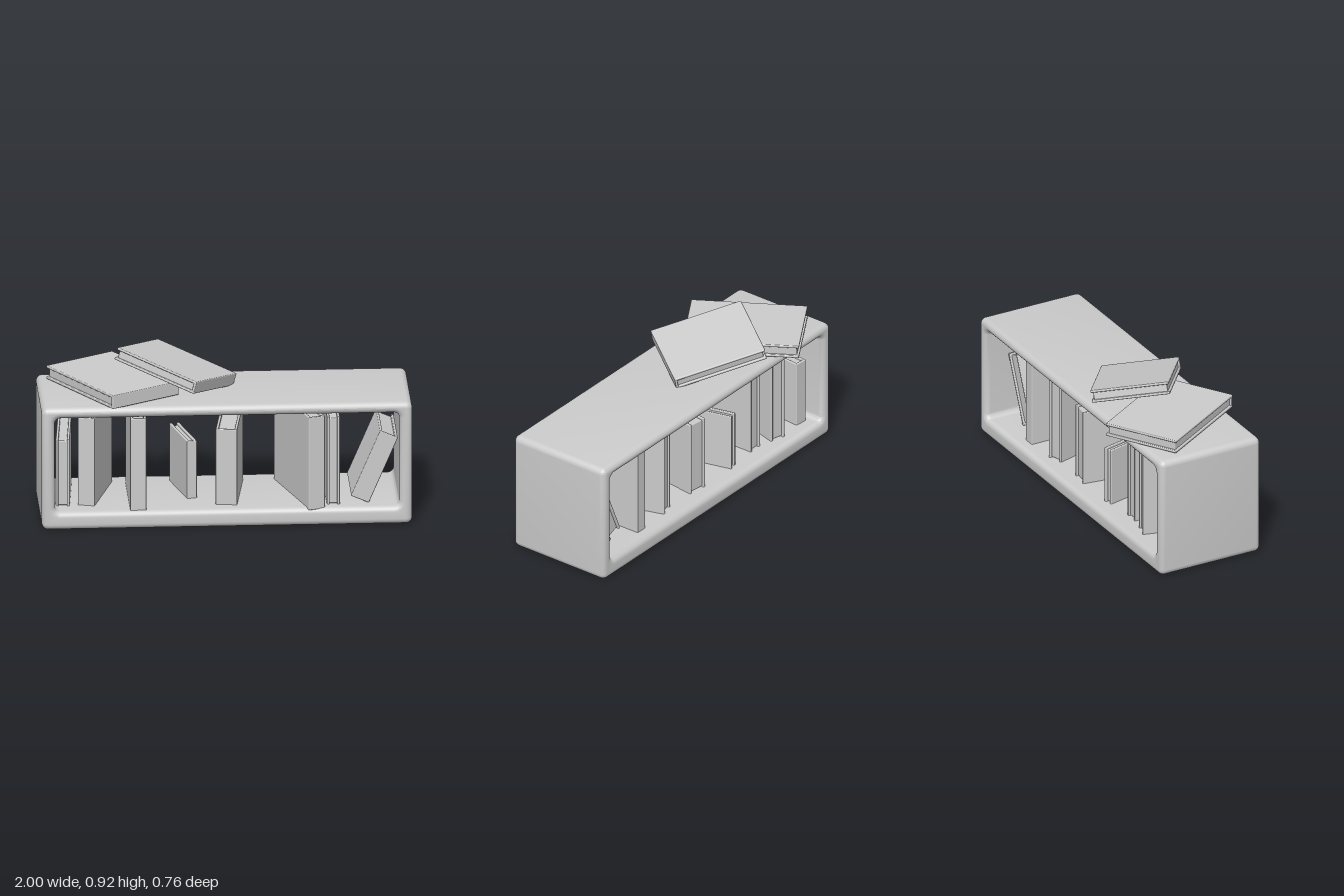
import * as THREE from 'three';
import { toCreasedNormals } from 'three/addons/utils/BufferGeometryUtils.js';
import { RoundedBoxGeometry } from 'three/addons/geometries/RoundedBoxGeometry.js';

const material = new THREE.MeshStandardMaterial({ color: 0xcccccc });

function roundedRect(path, x0, y0, x1, y1, r) {
  path.moveTo(x0 + r, y0);
  path.lineTo(x1 - r, y0);
  path.absarc(x1 - r, y0 + r, r, -Math.PI / 2, 0);
  path.lineTo(x1, y1 - r);
  path.absarc(x1 - r, y1 - r, r, 0, Math.PI / 2);
  path.lineTo(x0 + r, y1);
  path.absarc(x0 + r, y1 - r, r, Math.PI / 2, Math.PI);
  path.lineTo(x0, y0 + r);
  path.absarc(x0 + r, y0 + r, r, Math.PI, Math.PI * 1.5);
  return path;
}

// Open box frame, rounded on every edge
function makeShelf() {
  const shape = roundedRect(new THREE.Shape(), -1, 0, 1, 0.69, 0.036);
  shape.holes.push(roundedRect(new THREE.Path(), -0.93, 0.1, 0.93, 0.63, 0.03));
  const bevel = 0.032;
  const geometry = new THREE.ExtrudeGeometry(shape, {
    depth: 0.62 - 2 * bevel, curveSegments: 6,
    bevelThickness: bevel, bevelSize: bevel, bevelOffset: -bevel, bevelSegments: 6,
  });
  geometry.translate(0, 0, -0.28 + bevel);
  const shelf = new THREE.Mesh(toCreasedNormals(geometry, 0.6), material);
  shelf.name = 'shelfFrame';
  return shelf;
}

// Book centred on its origin: thickness on x, spine length on y, spine facing +z
function makeBook(name, t, h, d) {
  const book = new THREE.Group();
  book.name = name;
  const cover = 0.015, inset = 0.012;
  const add = (part, w, hh, dd, x, z) => {
    const mesh = new THREE.Mesh(new RoundedBoxGeometry(w, hh, dd, 2, 0.005), material);
    mesh.position.set(x, 0, z);
    mesh.name = part;
    book.add(mesh);
  };
  for (const s of [-1, 1]) add('cover', cover, h, d, s * (t - cover) / 2, 0);
  add('spine', t, h, cover, 0, (d - cover) / 2);
  const pageDepth = d - inset - cover / 2;
  add('pages', t - cover, h - 2 * inset, pageDepth, 0, -d / 2 + inset + pageDepth / 2);
  return book;
}

// Upright book running from its front centre to its back centre
function standBook(name, [xf, zf], [xb, zb], t, top, spineBack = false) {
  const y0 = 0.09;
  const book = makeBook(name, t, top - y0, Math.hypot(xf - xb, zf - zb));
  book.position.set((xf + xb) / 2, (y0 + top) / 2, (zf + zb) / 2);
  book.rotation.y = Math.atan2(xf - xb, zf - zb) + (spineBack ? Math.PI : 0);
  return book;
}

// Lying book set by three corners of its upper cover:
// fore edge corner, neighbouring spine corner, other fore edge corner
function layBook(name, fore, spine, foreFar, t) {
  const [a, b, c] = [fore, spine, foreFar].map((p) => new THREE.Vector3(...p));
  const zAxis = b.clone().sub(a), yAxis = c.clone().sub(a);
  const book = makeBook(name, t, yAxis.length(), zAxis.length());
  zAxis.normalize();
  const down = yAxis.clone().cross(zAxis).normalize();
  yAxis.crossVectors(zAxis, down);
  book.quaternion.setFromRotationMatrix(new THREE.Matrix4().makeBasis(down, yAxis, zAxis));
  book.position.copy(b).add(c).multiplyScalar(0.5).addScaledVector(down, t / 2);
  return book;
}

export function createModel() {
  const model = new THREE.Group();
  model.name = 'bookshelf';
  model.add(makeShelf());

  // Books standing in the shelf: front centre, back centre, thickness, top, spine at back
  const standing = [
    [[-0.8825, 0.225], [-0.8475, -0.195], 0.075, 0.48, true],
    [[-0.755, 0.22], [-0.635, -0.2], 0.093, 0.597],
    [[-0.478, 0.315], [-0.478, -0.17], 0.087, 0.62],
    [[-0.178, 0.13], [-0.257, -0.19], 0.056, 0.425],
    [[0, 0.25], [0.058, -0.19], 0.116, 0.528],
    [[0.485, 0.33], [0.325, -0.19], 0.094, 0.617],
    [[0.577, 0.275], [0.577, -0.21], 0.07, 0.597, true],
  ];
  standing.forEach((spec, i) => model.add(standBook(`standingBook${i + 1}`, ...spec)));

  // Book leaning on the end wall
  const leaning = makeBook('leaningBook', 0.105, 0.4, 0.39);
  leaning.position.set(0.8, 0.3, 0.055);
  leaning.rotation.z = -0.405;
  model.add(leaning);

  // Two books on top, one propped on the other
  model.add(layBook('flatBook', [-0.95, 0.773, -0.16], [-0.62, 0.773, 0.378], [-0.58, 0.773, -0.385], 0.076));
  model.add(layBook('proppedBook', [-0.58, 0.925, 0], [-0.17, 0.82, 0.3], [-0.33, 0.85, -0.34], 0.07));
  return model;
}
